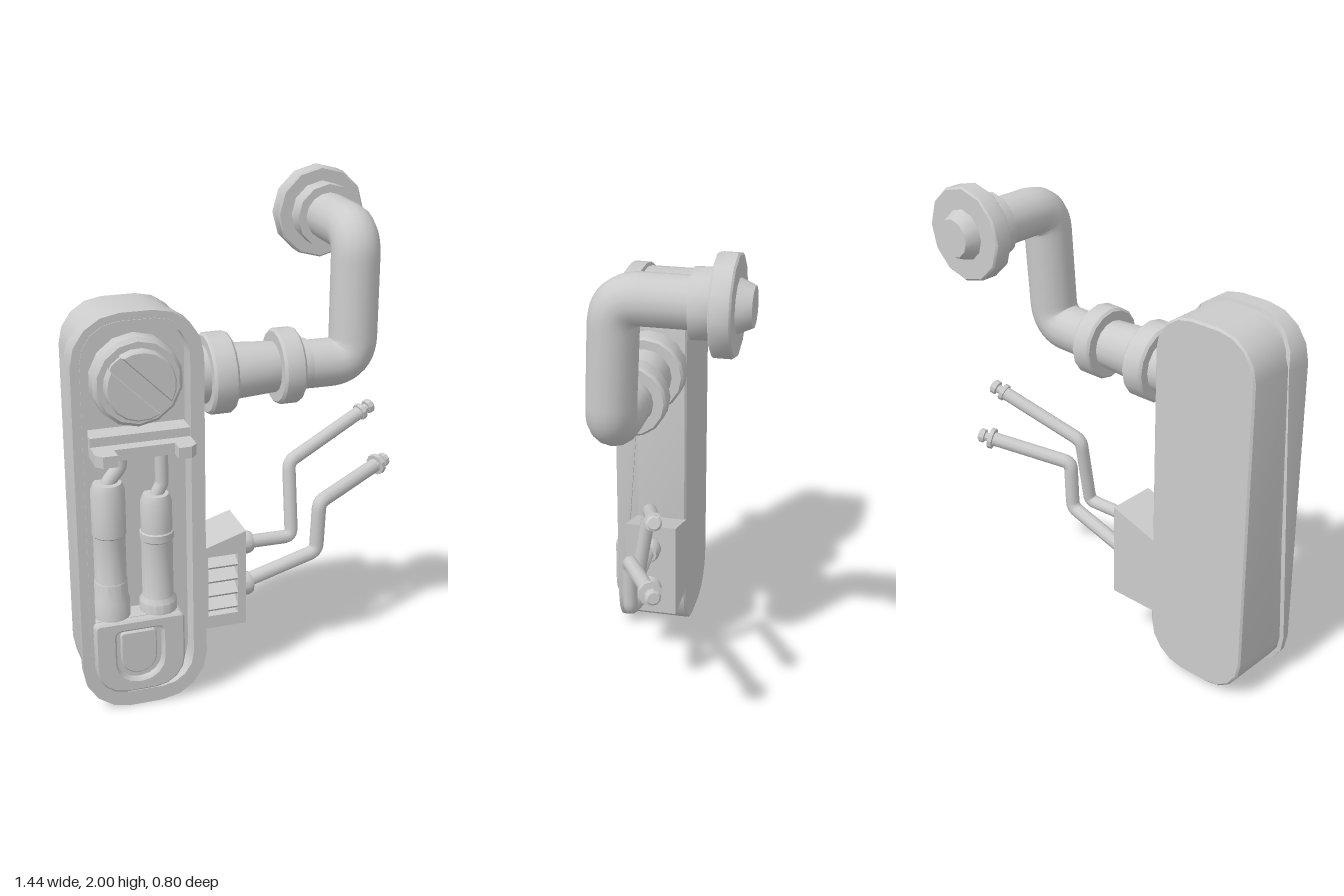
import * as THREE from 'three';
import { toCreasedNormals } from 'three/addons/utils/BufferGeometryUtils.js';

const V = (x, y, z) => new THREE.Vector3(x, y, z);

export function createModel() {
  const root = new THREE.Group();
  const mat = new THREE.MeshStandardMaterial({ color: 0xcccccc, side: THREE.DoubleSide });

  function add(name, geo, x = 0, y = 0, z = 0, crease = 0.6) {
    const mesh = new THREE.Mesh(toCreasedNormals(geo, crease), mat);
    mesh.name = name;
    mesh.position.set(x, y, z);
    root.add(mesh);
    return mesh;
  }
  const box = (name, x0, x1, y0, y1, z0, z1) =>
    add(name, new THREE.BoxGeometry(x1 - x0, y1 - y0, z1 - z0), (x0 + x1) / 2, (y0 + y1) / 2, (z0 + z1) / 2);

  // Rounded rectangle; separate radii for top and bottom corners
  function rounded(x0, x1, y0, y1, rTop, rBot = rTop, n = 4) {
    const pts = [];
    const corner = (cx, cy, r, a0) => {
      for (let i = 0; i <= (r ? n : 0); i++) {
        const a = a0 + (i / n) * Math.PI / 2;
        pts.push(new THREE.Vector2(cx + r * Math.cos(a), cy + r * Math.sin(a)));
      }
    };
    corner(x1 - rTop, y1 - rTop, rTop, 0);
    corner(x0 + rTop, y1 - rTop, rTop, Math.PI / 2);
    corner(x0 + rBot, y0 + rBot, rBot, Math.PI);
    corner(x1 - rBot, y0 + rBot, rBot, Math.PI * 1.5);
    return pts;
  }
  const poly = list => list.map(([x, y]) => new THREE.Vector2(x, y));

  // Extruded outline between two depths, with optional hole and bevel
  function slab(outline, z0, z1, hole, bevel = 0) {
    const shape = new THREE.Shape(outline);
    if (hole) shape.holes.push(new THREE.Path(hole));
    const geo = new THREE.ExtrudeGeometry(shape, {
      depth: z1 - z0 - 2 * bevel, bevelEnabled: bevel > 0, bevelSize: bevel,
      bevelThickness: bevel, bevelOffset: -bevel, bevelSegments: 1,
    });
    return geo.translate(0, 0, z0 + bevel);
  }

  // Turned part from [radius, distance] pairs along a direction
  function turned(name, profile, origin, dir, sides = 16) {
    const mesh = add(name, new THREE.LatheGeometry(poly(profile), sides), origin.x, origin.y, origin.z);
    mesh.quaternion.setFromUnitVectors(V(0, 1, 0), dir.clone().normalize());
    return mesh;
  }

  // Tube along straight runs with tight rounded bends
  function pipe(name, pts, r, bend, sides = 12) {
    const path = new THREE.CurvePath();
    let from = pts[0];
    for (let i = 1; i < pts.length - 1; i++) {
      const a = pts[i].clone().add(pts[i - 1].clone().sub(pts[i]).setLength(bend));
      const b = pts[i].clone().add(pts[i + 1].clone().sub(pts[i]).setLength(bend));
      path.add(new THREE.LineCurve3(from, a));
      path.add(new THREE.QuadraticBezierCurve3(a, pts[i], b));
      from = b;
    }
    path.add(new THREE.LineCurve3(from, pts[pts.length - 1]));
    add(name, new THREE.TubeGeometry(path, 70, r, sides), 0, 0, 0, 1);
  }

  // Housing: solid back, wall around the recess, and a front rim
  const recess = rounded(-0.665, -0.27, 0.065, 1.58, 0.13);
  const shell = rounded(-0.7, -0.23, 0.02, 1.615, 0.17);
  add('housing', slab(shell, -0.02, 0.2, null, 0.008));
  add('housingWall', slab(shell, 0.185, 0.27, recess));
  const rim = slab(rounded(-0.72, -0.215, 0, 1.63, 0.19), 0, 0.28, recess);
  const p = rim.attributes.position;
  for (let i = 0; i < p.count; i++) {
    const y = p.getY(i);
    if (p.getZ(i) < 0.1) p.setZ(i, y < 1.44 ? 0.265 - 0.073 * y : 0.16 + 0.29 * (y - 1.44));
  }
  rim.computeVertexNormals();
  add('rim', rim);
  add('rimLip', slab(rounded(-0.685, -0.25, 0.045, 1.6, 0.15), 0.27, 0.283, recess));

  // Slotted dial
  const dial = V(-0.465, 1.355, 0.2);
  turned('dialBase', [[0, 0], [0.175, 0], [0.175, 0.06], [0.16, 0.075], [0, 0.075]], dial, V(0, 0, 1), 14);
  for (const s of [0, 1]) {
    const half = [], a0 = Math.asin(0.03 / 0.135);
    for (let i = 0; i <= 8; i++) {
      const a = a0 + (i / 8) * (Math.PI - 2 * a0);
      half.push(new THREE.Vector2(0.135 * Math.cos(a), 0.135 * Math.sin(a)));
    }
    const m = add('dialHalf', slab(half, 0.05, 0.12, null, 0.006), dial.x, dial.y, dial.z);
    m.rotation.z = -Math.PI / 4 + s * Math.PI;
  }
  turned('dialSlotFloor', [[0, 0.07], [0.132, 0.07], [0.132, 0.09], [0, 0.09]], dial, V(0, 0, 1), 14);

  // Forked bracket
  box('bracketPlate', -0.66, -0.275, 1.13, 1.165, 0.19, 0.29);
  const fork = slab(poly([[-0.66, -0.2], [-0.275, -0.2], [-0.275, -0.37], [-0.3, -0.395], [-0.35, -0.395],
    [-0.35, -0.34], [-0.58, -0.34], [-0.58, -0.395], [-0.635, -0.395], [-0.66, -0.37]]), 0, 0.045);
  add('bracketFork', fork.rotateX(-Math.PI / 2), 0, 1.085, 0);

  // Two upright canisters with feed pipes
  const up = V(0, 1, 0);
  turned('canisterLeft', [[0, 0.36], [0.073, 0.36], [0.073, 0.47], [0.066, 0.485], [0.066, 0.55], [0.063, 0.555],
    [0.063, 0.745], [0.067, 0.75], [0.067, 0.93], [0.055, 0.96], [0, 0.96]], V(-0.588, 0, 0.235), up);
  turned('canisterRight', [[0, 0.36], [0.075, 0.36], [0.075, 0.44], [0.062, 0.46], [0.062, 0.7], [0.067, 0.705],
    [0.067, 0.735], [0.062, 0.74], [0.062, 0.86], [0.05, 0.89], [0, 0.89]], V(-0.4, 0, 0.235), up);
  pipe('feedPipeLeft', [V(-0.59, 0.93, 0.235), V(-0.585, 0.96, 0.235), V(-0.537, 1.02, 0.235), V(-0.537, 1.1, 0.235)], 0.028, 0.015, 10);
  pipe('feedPipeRight', [V(-0.4, 0.86, 0.235), V(-0.395, 0.89, 0.235), V(-0.375, 0.93, 0.235), V(-0.375, 1.1, 0.235)], 0.026, 0.01, 10);

  // Canister socket with a U-shaped inset
  const inset = rounded(-0.59, -0.405, 0.135, 0.355, 0.02, 0.085);
  const socket = rounded(-0.675, -0.315, 0.085, 0.4, 0.02, 0.12);
  add('socketBase', slab(socket, 0.19, 0.285));
  add('socketFace', slab(socket, 0.28, 0.318, inset, 0.008));
  add('socketInset', slab(rounded(-0.57, -0.425, 0.155, 0.34, 0.015, 0.07), 0.28, 0.298, null, 0.005));

  // Main duct with two collars
  turned('ductRun', [[0.115, -0.25], [0.115, -0.17], [0.15, -0.17], [0.16, -0.16], [0.16, -0.08], [0.15, -0.07],
    [0.112, -0.07], [0.1, 0.115], [0.14, 0.115], [0.15, 0.125], [0.15, 0.195], [0.14, 0.205], [0.1, 0.205], [0.1, 0.25]],
  V(0, 1.31, 0.12), V(1, 0, 0), 16);
  pipe('ductElbow', [V(0.2, 1.305, 0.12), V(0.445, 1.305, 0.125), V(0.458, 1.815, 0.1), V(0.458, 1.815, -0.22)], 0.096, 0.1, 16);

  // Flanged cap at the end of the duct
  turned('ductFlange', [[0.09, 0.185], [0.13, 0.185], [0.13, 0.265], [0.18, 0.265], [0.187, 0.272], [0.187, 0.338],
    [0.18, 0.345], [0.1, 0.345], [0.075, 0.4], [0, 0.4]], V(0.458, 1.815, 0), V(0, 0, -1), 12);

  // Vent box with louvres
  const ventOutline = poly([[-0.24, 0.24], [-0.02, 0.24], [-0.02, 0.655], [-0.24, 0.585]]);
  const ventHole = poly([[-0.18, 0.295], [-0.055, 0.295], [-0.055, 0.56], [-0.18, 0.56]]);
  add('ventBox', slab(ventOutline, -0.02, 0.14));
  add('ventFrame', slab(ventOutline, 0.14, 0.195, ventHole));
  for (let i = 0; i < 4; i++) {
    const slat = add('louvre', new THREE.BoxGeometry(0.125, 0.012, 0.07), -0.1175, 0.34 + i * 0.063, 0.165);
    slat.rotation.x = 0.6;
  }

  // Two thin bent lines with box fittings and end nozzles
  const lines = [
    { r: 0.03, pts: [V(-0.02, 0.365, 0.09), V(0.325, 0.465, 0.09), V(0.335, 0.685, 0.09), V(0.645, 0.748, -0.062)], fit: 0.05, flange: 0.046 },
    { r: 0.028, pts: [V(-0.02, 0.553, 0.09), V(0.215, 0.548, 0.085), V(0.218, 0.86, 0.035), V(0.56, 0.998, -0.06)], fit: 0.048, flange: 0.036 },
  ];
  for (const { r, pts, fit, flange } of lines) {
    pipe('line', pts, r, 0.03, 10);
    turned('lineFitting', [[fit, -0.01], [fit, 0.04], [fit - 0.008, 0.058], [0, 0.058]], pts[0], V(1, 0, 0), 12);
    turned('nozzle', [[0, -0.005], [r, -0.005], [r, 0.005], [flange, 0.006], [flange, 0.024], [0.018, 0.026], [0.018, 0.046],
      [0.03, 0.048], [0.03, 0.068], [0.022, 0.075], [0, 0.075]], pts[3], pts[3].clone().sub(pts[2]), 10);
  }
  return root;
}
